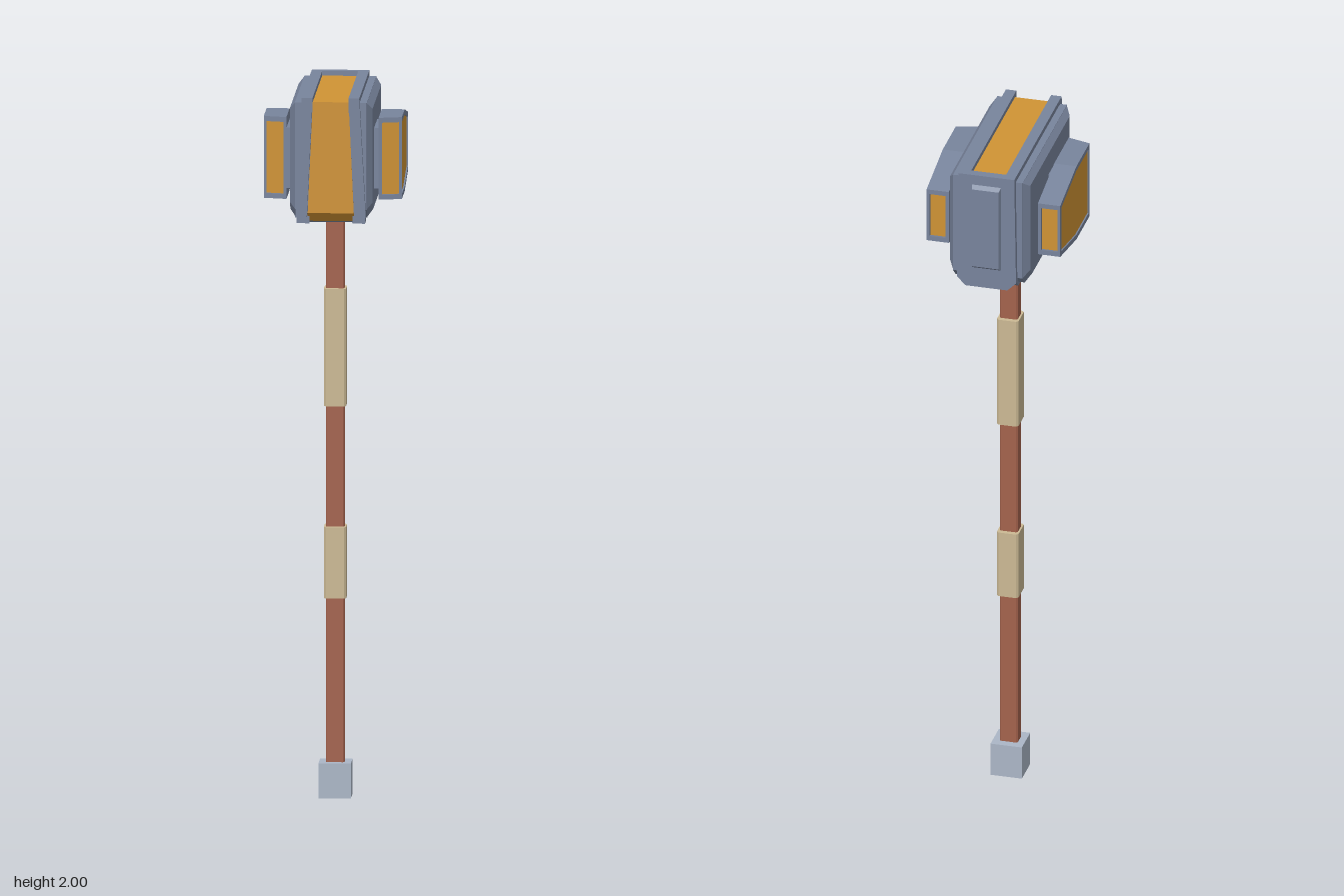
import * as THREE from 'three';

const mat = (name, color) => {
  const m = new THREE.MeshStandardMaterial({ color });
  m.name = name;
  return m;
};

export function createModel() {
  const steel = mat('blue grey steel', 0x78849c);
  const gold = mat('amber panel', 0xcf9334);
  const wood = mat('red brown wood', 0xa3624c);
  const wrap = mat('tan wrap', 0xcbb994);
  const cap = mat('pale steel', 0xabb6c6);

  const root = new THREE.Group();
  root.name = 'warHammer';
  const shapeOf = (pts) => new THREE.Shape(pts.map((p) => new THREE.Vector2(p[0], p[1])));

  const add = (name, geo, material, parent = root) => {
    const m = new THREE.Mesh(geo, material);
    m.name = name;
    parent.add(m);
    return m;
  };
  const box = (name, x0, x1, y0, y1, z0, z1, material, parent) => {
    const g = new THREE.BoxGeometry(x1 - x0, y1 - y0, z1 - z0);
    g.translate((x0 + x1) / 2, (y0 + y1) / 2, (z0 + z1) / 2);
    return add(name, g, material, parent);
  };
  // Side profile of [z, y] points, swept from x0 to x1
  const prism = (pts, x0, x1) => {
    const g = new THREE.ExtrudeGeometry(shapeOf(pts), { depth: x1 - x0, bevelEnabled: false });
    return g.rotateY(-Math.PI / 2).translate(x1, 0, 0);
  };
  // Front outline of [x, y] points, swept from z0 to z1
  const slab = (pts, z0, z1, hole) => {
    const s = shapeOf(pts);
    if (hole) s.holes.push(shapeOf(hole));
    return new THREE.ExtrudeGeometry(s, { depth: z1 - z0, bevelEnabled: false }).translate(0, 0, z0);
  };
  const warp = (g, rule) => {
    const p = g.attributes.position;
    const v = new THREE.Vector3();
    for (let i = 0; i < p.count; i++) {
      rule(v.fromBufferAttribute(p, i));
      p.setXYZ(i, v.x, v.y, v.z);
    }
    g.computeVertexNormals();
    return g;
  };
  const rect = (a, b, c, d) => [[a, c], [b, c], [b, d], [a, d]];
  // Rectangle with its two lower corners cut off
  const cutRect = (a, b, c, d, k) => [[a + k, c], [b - k, c], [b, c + k], [b, d], [a, d], [a, c + k]];

  // Shaft, wraps and pommel
  const post = (name, hx, hz, y0, y1, c, material) => {
    const pts = [[-hx + c, -hz], [hx - c, -hz], [hx, -hz + c], [hx, hz - c],
      [hx - c, hz], [-hx + c, hz], [-hx, hz - c], [-hx, -hz + c]];
    const g = slab(pts, 0, y1 - y0).rotateX(-Math.PI / 2).translate(0, y0, 0.008);
    add(name, g, material);
  };
  post('shaft', 0.026, 0.021, 0.09, 1.64, 0.004, wood);
  post('lowerGrip', 0.031, 0.034, 0.56, 0.76, 0.006, wrap);
  post('upperGrip', 0.031, 0.034, 1.1, 1.43, 0.006, wrap);
  box('pommel', -0.045, 0.045, 0, 0.098, -0.037, 0.053, cap);
  box('collar', -0.045, 0.045, 1.62, 1.66, -0.032, 0.053, steel);

  // Hammer head
  const head = new THREE.Group();
  head.name = 'head';
  root.add(head);
  add('headCore', prism(cutRect(-0.235, 0.243, 1.645, 1.983, 0.03), -0.08, 0.08), steel, head);

  // Amber band running over the top and down the front, wider at the foot
  const band = prism([[-0.225, 1.9], [0.2, 1.9], [0.2, 1.65], [0.224, 1.65], [0.246, 1.675],
    [0.246, 1.987], [-0.225, 1.987]], -0.05, 0.05);
  warp(band, (v) => { v.x *= 1 + 0.9 * (1.987 - v.y); });
  add('amberBand', band, gold, head);

  // Back plate with a raised frame
  add('backPlate', slab([[-0.085, 1.675], [-0.06, 1.65], [0.06, 1.65], [0.085, 1.675],
    [0.08, 2], [-0.08, 2]], -0.25, -0.225), steel, head);
  const frame = slab(rect(-0.042, 0.042, 1.71, 1.97), -0.262, -0.25, rect(-0.024, 0.024, 1.745, 1.935));
  warp(frame, (v) => {
    if (v.z < -0.26) {
      v.x *= 0.9;
      v.y = 1.84 + (v.y - 1.84) * 0.93;
    }
  });
  add('backFrame', frame, steel, head);

  for (const s of [1, -1]) {
    const tag = s > 0 ? 'left' : 'right';
    const side = new THREE.Group();
    side.name = tag + 'Side';
    head.add(side);
    const sidePrism = (pts, x0, x1) => (s > 0 ? prism(pts, x0, x1) : prism(pts, -x1, -x0));
    const sideBox = (name, x0, x1, y0, y1, z0, z1, m) =>
      box(name, s > 0 ? x0 : -x1, s > 0 ? x1 : -x0, y0, y1, z0, z1, m, side);

    // Top rail and flared front rail
    sideBox('topRail', 0.05, 0.08, 1.96, 2, -0.25, 0.26, steel);
    const rail = [[0.066, 1.665], [0.098, 1.665], [0.08, 2], [0.05, 2]].map(([x, y]) => [s * x, y]);
    add('frontRail', slab(rail, 0.235, 0.26), steel, side);
    sideBox('frontFoot', 0.06, 0.095, 1.645, 1.675, 0.2, 0.238, steel);

    // Stepped cheek plates, the outer one bevelled
    add('innerCheek', sidePrism(cutRect(-0.235, 0.243, 1.66, 1.985, 0.025), 0.075, 0.1), steel, side);
    const cheek = sidePrism(cutRect(-0.235, 0.243, 1.66, 1.985, 0.025), 0.095, 0.115);
    warp(cheek, (v) => {
      if (Math.abs(v.x) > 0.11) {
        v.z *= 0.89;
        v.y = 1.822 + (v.y - 1.822) * 0.88;
      } else v.x = s * 0.099;
    });
    add('outerCheek', cheek, steel, side);

    // Side pod: amber core held in a steel tray with a slanted front
    sideBox('podMount', 0.11, 0.132, 1.73, 1.9, -0.012, 0.148, steel);
    const slant = (g) => warp(g, (v) => {
      if (v.z > 0.1) v.z -= (Math.abs(v.x) - 0.128) * 0.27;
    });
    const part = (name, pts, x0, x1, m) => add(name, slant(sidePrism(pts, x0, x1)), m, side);
    const outline = [[0.157, 1.7], [0.157, 1.93], [0.0, 1.93], [-0.175, 1.895], [-0.175, 1.735], [0.0, 1.7]];
    part('podBackPlate', outline, 0.128, 0.137, steel);
    const t = 0.014;
    part('podUpperRim', [[0.157, 1.93], [0, 1.93], [-0.175, 1.895], [-0.175, 1.895 - t],
      [0, 1.93 - t], [0.157, 1.93 - t]], 0.13, 0.192, steel);
    part('podLowerRim', [[0.157, 1.7], [0.157, 1.7 + t], [0, 1.7 + t], [-0.175, 1.735 + t],
      [-0.175, 1.735], [0, 1.7]], 0.13, 0.192, steel);
    part('podFrontPost', rect(0.149, 0.157, 1.705, 1.925), 0.184, 0.192, steel);
    part('podRearPost', rect(-0.175, -0.161, 1.74, 1.89), 0.184, 0.192, steel);
    part('podCore', [[0.15, 1.708], [0.15, 1.922], [0, 1.922], [-0.163, 1.889],
      [-0.163, 1.741], [0, 1.708]], 0.132, 0.188, gold);
  }
  return root;
}
